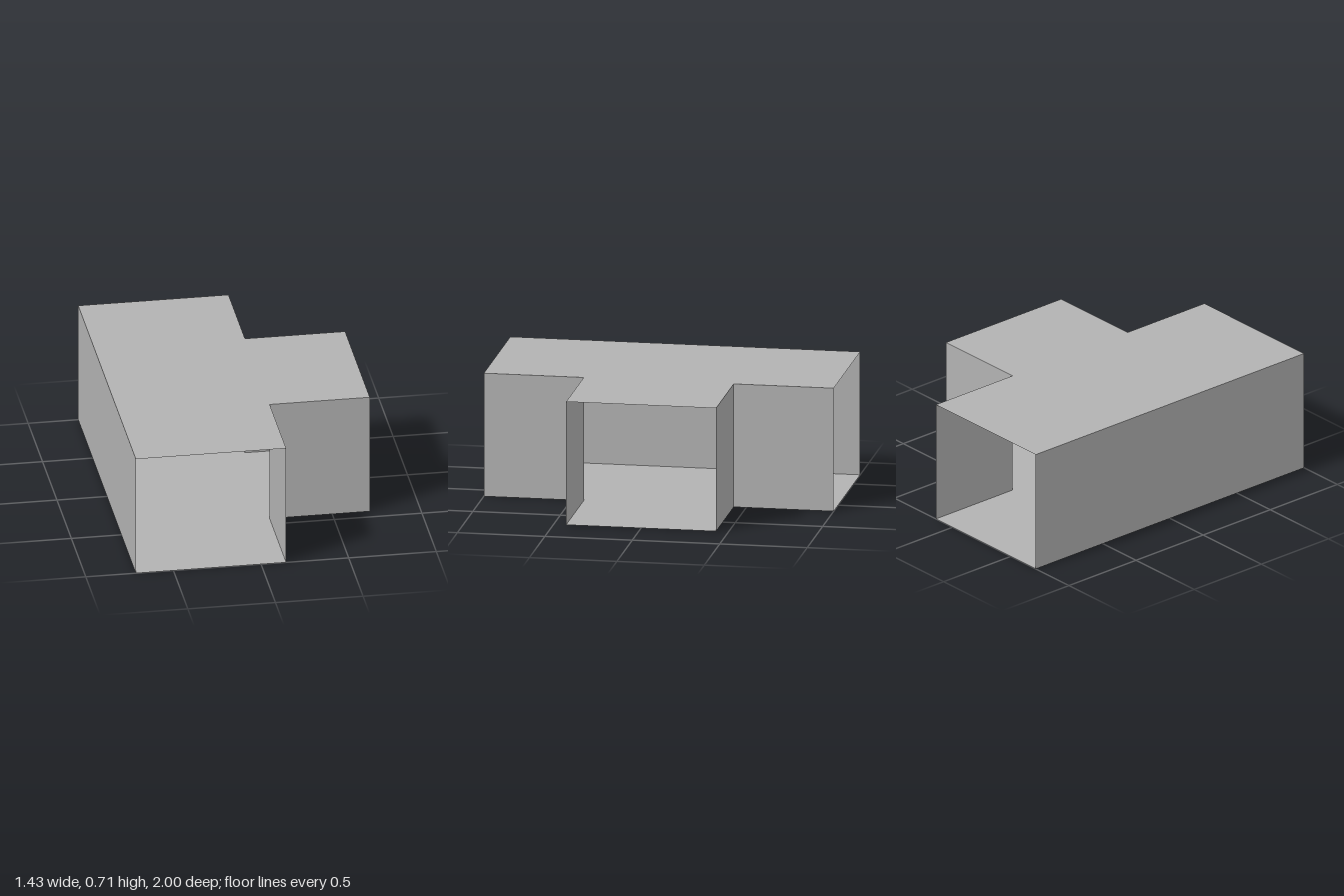
import * as THREE from 'three';

const U = 1 / 7; // modular unit
const HEIGHT = 5 * U;

export function createModel() {
  const group = new THREE.Group();
  group.name = 'teeJunctionDuct';
  const grey = new THREE.MeshStandardMaterial({ color: 0xb2b2b2, side: THREE.DoubleSide });
  grey.name = 'plain grey';

  const add = (name, geometry) => {
    const mesh = new THREE.Mesh(geometry, grey);
    mesh.name = name;
    group.add(mesh);
    return mesh;
  };

  // T-shaped floor and ceiling sheets
  const plan = new THREE.Shape([
    [-5, -7], [1, -7], [1, -3], [5, -3], [5, 3], [1, 3], [1, 7], [-5, 7],
  ].map(([x, z]) => new THREE.Vector2(x * U, z * U)));
  const sheet = new THREE.ShapeGeometry(plan);
  add('floor', sheet.clone().rotateX(Math.PI / 2));
  add('ceiling', sheet.clone().rotateX(-Math.PI / 2)).position.y = HEIGHT;

  // Upright sheet between two plan points, facing right of the travel direction
  const wall = (name, x0, z0, x1, z1) => {
    const dx = (x1 - x0) * U, dz = (z1 - z0) * U;
    const mesh = add(name, new THREE.PlaneGeometry(Math.hypot(dx, dz), HEIGHT));
    mesh.position.set((x0 + x1) / 2 * U, HEIGHT / 2, (z0 + z1) / 2 * U);
    mesh.rotation.y = Math.atan2(-dz, dx);
  };

  // Walls; the three ends of the duct stay open
  wall('longWall', -5, -7, -5, 7);
  wall('frontMainWall', 1, 7, 1, 3);
  wall('frontBranchWall', 1, 3, 5, 3);
  wall('backBranchWall', 5, -3, 1, -3);
  wall('backMainWall', 1, -3, 1, -7);

  return group;
}
